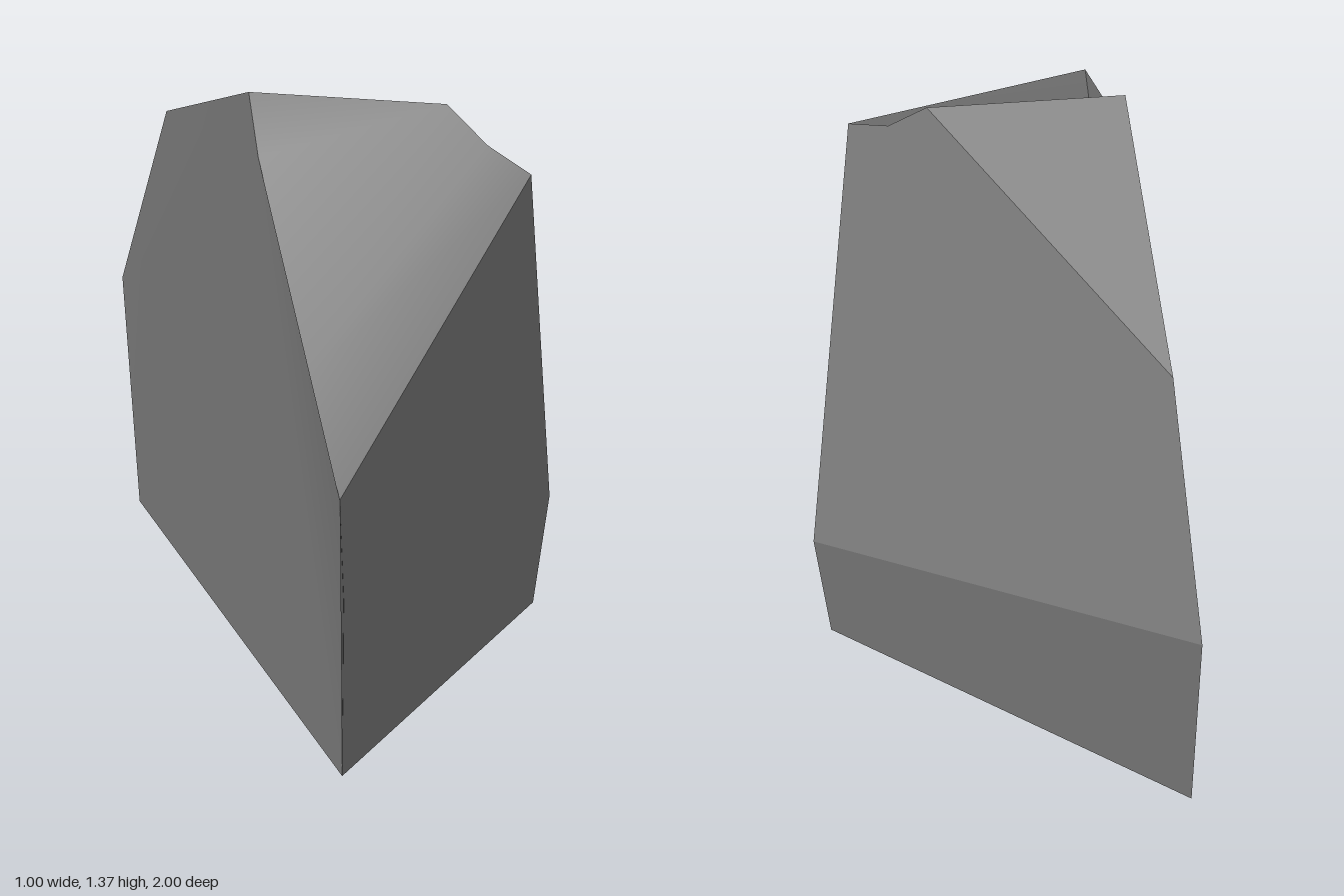
import * as THREE from 'three';

// Corners of the boulder
const P = {
  A: [-0.41, 0, 0.83], B: [0.45, 0, 0.08], C: [-0.09, 0, -0.87],
  D: [0.495, 0.255, 0.075], E: [0.31, 1.19, 0.355],
  F: [-0.5, 0.765, 1.0], M: [-0.455, 0.48, 0.93],
  G: [-0.07, 0.505, -1.0], H: [-0.11, 1.04, -0.69],
  I: [-0.24, 1.365, 0], J: [0.185, 1.32, 0.17], K: [0.25, 1.235, 0.25],
  L: [-0.255, 1.235, 0.08], Q: [-0.35, 0.85, 0.5],
};

// One face from triangles of corner letters; corners are shared, so it shades smoothly
function face(name, triangles, material) {
  const letters = [...new Set(triangles.join(''))];
  const geometry = new THREE.BufferGeometry();
  geometry.setAttribute('position', new THREE.Float32BufferAttribute(letters.flatMap((c) => P[c]), 3));
  geometry.setIndex([...triangles.join('')].map((c) => letters.indexOf(c)));
  geometry.computeVertexNormals();
  const mesh = new THREE.Mesh(geometry, material);
  mesh.name = name;
  return mesh;
}

// Triangle fan around the first corner of a loop
function fan(loop) {
  const triangles = [];
  for (let i = 1; i < loop.length - 1; i++) triangles.push(loop[0] + loop[i] + loop[i + 1]);
  return triangles;
}

export function createModel() {
  const stone = new THREE.MeshStandardMaterial({ color: 0x7a7a7a });
  stone.name = 'grey stone';

  const rock = new THREE.Group();
  rock.name = 'rock';
  rock.add(
    face('frontFace', fan('ABDEFM'), stone),
    face('leftSideUpperFace', fan('HJKEDG'), stone),
    face('leftSideLowerFace', fan('BCGD'), stone),
    face('rightSideFace', fan('LIHGCAMF'), stone),
    face('topFace', fan('IJH'), stone),
    face('underside', fan('ACB'), stone),
    // Chipped hollow at the top front, with its thin inner wall
    face('chippedHollow', ['ILJ', 'LQJ', 'JQK', 'KQE', 'QFE'], stone),
    face('hollowWall', ['LFQ'], stone),
  );
  return rock;
}
